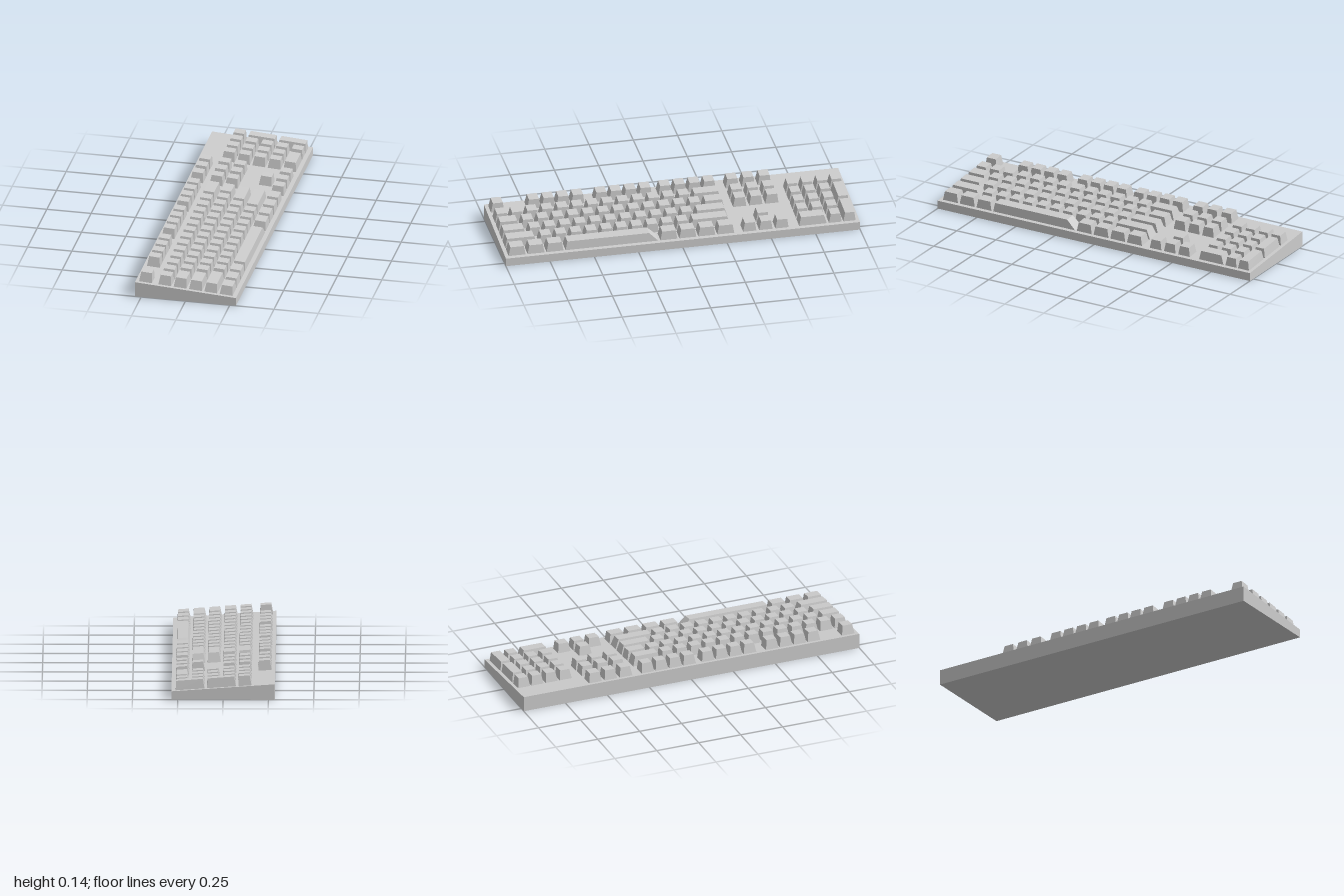
import * as THREE from 'three';

const U = 0.0857;          // key pitch along the board
const GAP = 0.0107;        // gap between neighbouring keys
const KEY = U - GAP;       // width of a single key
const START = 0.985;       // left end of the main block
const ROW_X = [-0.23, -0.121, -0.035, 0.052, 0.138, 0.225];

const deckY = x => 0.067 - 0.0702 * x;     // sloping top of the case
const topY = x => 0.1207 - 0.079 * x;      // plane of the key tops

export function createModel() {
  const model = new THREE.Group();
  const material = new THREE.MeshStandardMaterial({ color: 0xcccccc, flatShading: true });

  // Box whose corners are placed by a rule: place(sx, top, sz) -> [x, y, z]
  function shapedBox(name, place, parent) {
    const geometry = new THREE.BoxGeometry(2, 2, 2);
    const p = geometry.attributes.position;
    for (let i = 0; i < p.count; i++) {
      p.setXYZ(i, ...place(p.getX(i) > 0, p.getY(i) > 0, p.getZ(i) > 0));
    }
    geometry.computeVertexNormals();
    const mesh = new THREE.Mesh(geometry, material);
    mesh.name = name;
    parent.add(mesh);
  }

  function group(name) {
    const g = new THREE.Group();
    g.name = name;
    model.add(g);
    return g;
  }

  // Tapered keycap, steeper on its +x side
  function key(parent, name, x, z, depth = KEY, width = 0.073) {
    shapedBox(name, (right, top, front) => {
      let px = x + (right ? width / 2 : -width / 2);
      let pz = z + (front ? depth / 2 : -depth / 2);
      if (!top) return [px, deckY(px) - 0.001, pz];
      px += right ? -0.003 : 0.011;
      pz += front ? -0.011 : 0.0075 * depth / KEY;
      return [px, topY(px), pz];
    }, parent);
  }

  // Wedge-shaped case
  shapedBox('case', (right, top, front) => {
    const x = right ? 0.285 : -0.285;
    return [x, top ? deckY(x) : 0, front ? 1 : -1];
  }, model);

  // Main block: key lengths of each row in units
  const ones = n => Array(n).fill(1);
  const rows = [
    [...ones(13), 2],
    [1.5, ...ones(12), 1.5],
    [1.75, ...ones(11), 2.25],
    [2.25, ...ones(10), 2.75],
    [1.25, 1.25, 1.25, 6.25, 1.25, 1.25, 1.25, 1.25],
  ];
  const main = group('mainKeys');
  rows.forEach((row, r) => {
    let z = START;
    for (const n of row) {
      key(main, n > 6 ? 'spaceBar' : 'mainKey', ROW_X[r + 1], z - n * U / 2, n * U - GAP);
      z -= n * U;
    }
  });

  // Escape key and three groups of four function keys
  const functions = group('functionKeys');
  key(functions, 'escapeKey', ROW_X[0], 0.942);
  for (const first of [0.738, 0.357, -0.003]) {
    for (let i = 0; i < 4; i++) key(functions, 'functionKey', ROW_X[0], first - i * 0.083);
  }

  // Navigation keys and arrows
  const nav = group('navigationKeys');
  for (const z of [-0.382, -0.473, -0.564]) {
    for (const r of [0, 1, 2]) key(nav, 'navigationKey', ROW_X[r], z);
    key(nav, 'arrowKey', ROW_X[5], z);
  }
  key(nav, 'arrowKey', ROW_X[4], -0.473);

  // Number pad with two tall keys and one wide key
  const pad = group('numberPad');
  const padZ = [-0.697, -0.781, -0.865, -0.945];
  for (const z of padZ) key(pad, 'padKey', ROW_X[1], z, 0.072);
  for (const r of [2, 3, 4]) {
    for (const z of padZ.slice(0, 3)) key(pad, 'padKey', ROW_X[r], z, 0.072);
  }
  key(pad, 'padWideKey', ROW_X[5], -0.739, 0.156);
  key(pad, 'padKey', ROW_X[5], padZ[2], 0.072);
  for (const r of [2, 4]) {
    key(pad, 'padTallKey', (ROW_X[r] + ROW_X[r + 1]) / 2, padZ[3], 0.07, 0.16);
  }

  return model;
}
